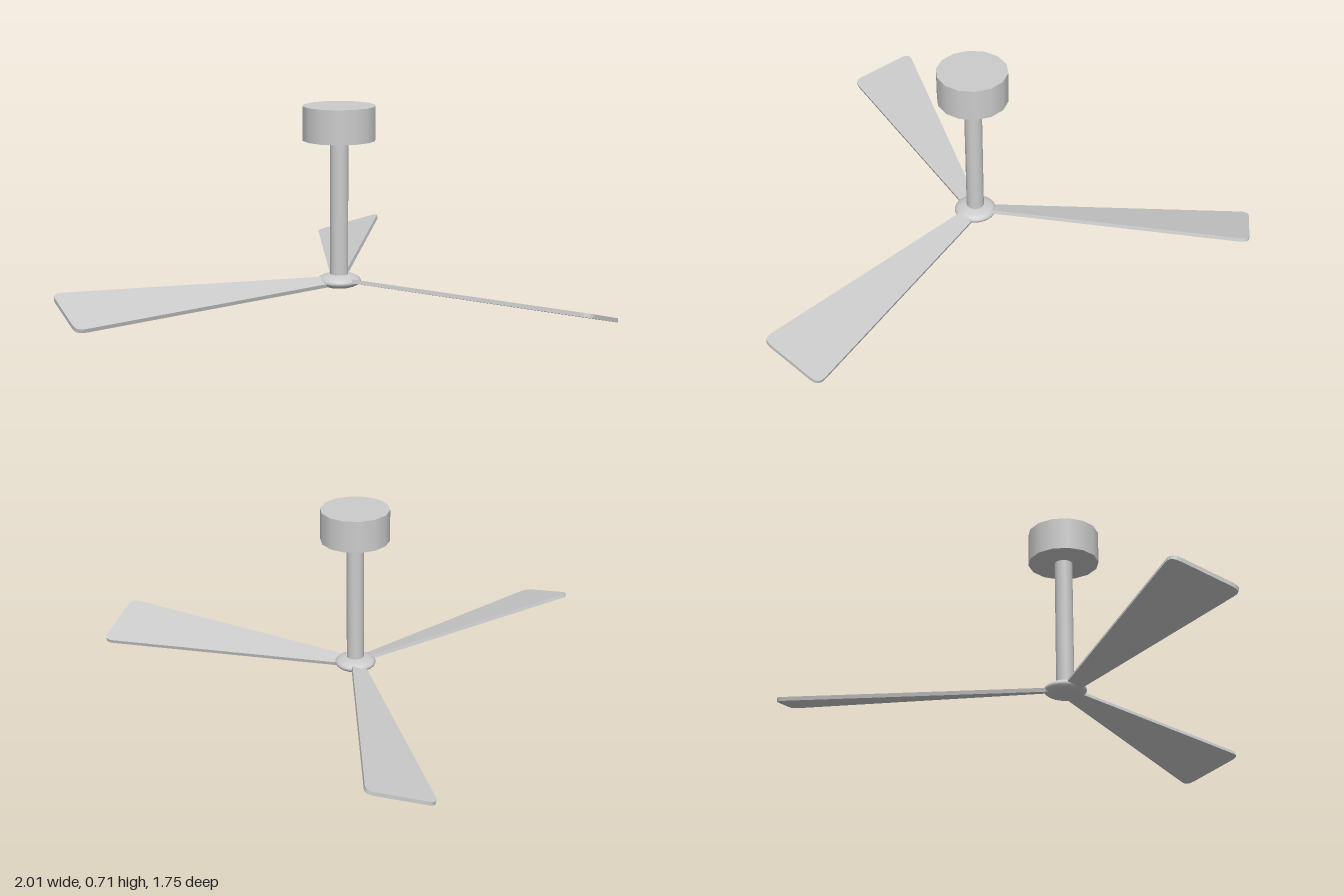
import * as THREE from 'three';

const material = new THREE.MeshStandardMaterial({ color: 0xcccccc });

function part(name, geometry, y = 0) {
  const mesh = new THREE.Mesh(geometry, material);
  mesh.name = name;
  mesh.position.y = y;
  return mesh;
}

// Tapered blade with rounded tip corners, pointing to -z and pitched about its length
function bladeGeometry() {
  const thickness = 0.015, length = 1.097, root = 0.04;
  const rootHalf = 0.027, tipHalf = 0.138, r = 0.04;
  const lean = r * (tipHalf - rootHalf) / (length - root);
  const shape = new THREE.Shape();
  shape.moveTo(-rootHalf, root);
  shape.lineTo(rootHalf, root);
  shape.lineTo(tipHalf - lean, length - r);
  shape.quadraticCurveTo(tipHalf, length, tipHalf - r, length);
  shape.lineTo(r - tipHalf, length);
  shape.quadraticCurveTo(-tipHalf, length, lean - tipHalf, length - r);
  shape.closePath();
  const geometry = new THREE.ExtrudeGeometry(shape, {
    depth: thickness, bevelEnabled: false, curveSegments: 5,
  });
  geometry.translate(0, 0, -thickness / 2);
  geometry.rotateX(-Math.PI / 2);
  geometry.rotateZ(THREE.MathUtils.degToRad(16));
  geometry.translate(-0.005, 0, 0);
  return geometry;
}

export function createModel() {
  const fan = new THREE.Group();
  fan.name = 'ceilingFan';

  // Ceiling mount, hanging rod and flattened hub share one axis
  const assembly = new THREE.Group();
  assembly.name = 'fanAssembly';
  assembly.position.set(-0.008, 0, 0.217);
  assembly.add(
    part('ceilingMount', new THREE.CylinderGeometry(0.139, 0.139, 0.13, 14), 0.65),
    part('rod', new THREE.CylinderGeometry(0.035, 0.035, 0.545, 14), 0.3175),
    part('hub', new THREE.SphereGeometry(0.083, 24, 14).scale(1, 0.34, 1), 0.045),
  );

  // Three equal blades around the hub
  const blade = bladeGeometry();
  for (let i = 0; i < 3; i++) {
    const mesh = part('blade' + (i + 1), blade, 0.045);
    mesh.rotation.y = (i * Math.PI * 2) / 3;
    assembly.add(mesh);
  }

  fan.add(assembly);
  return fan;
}
